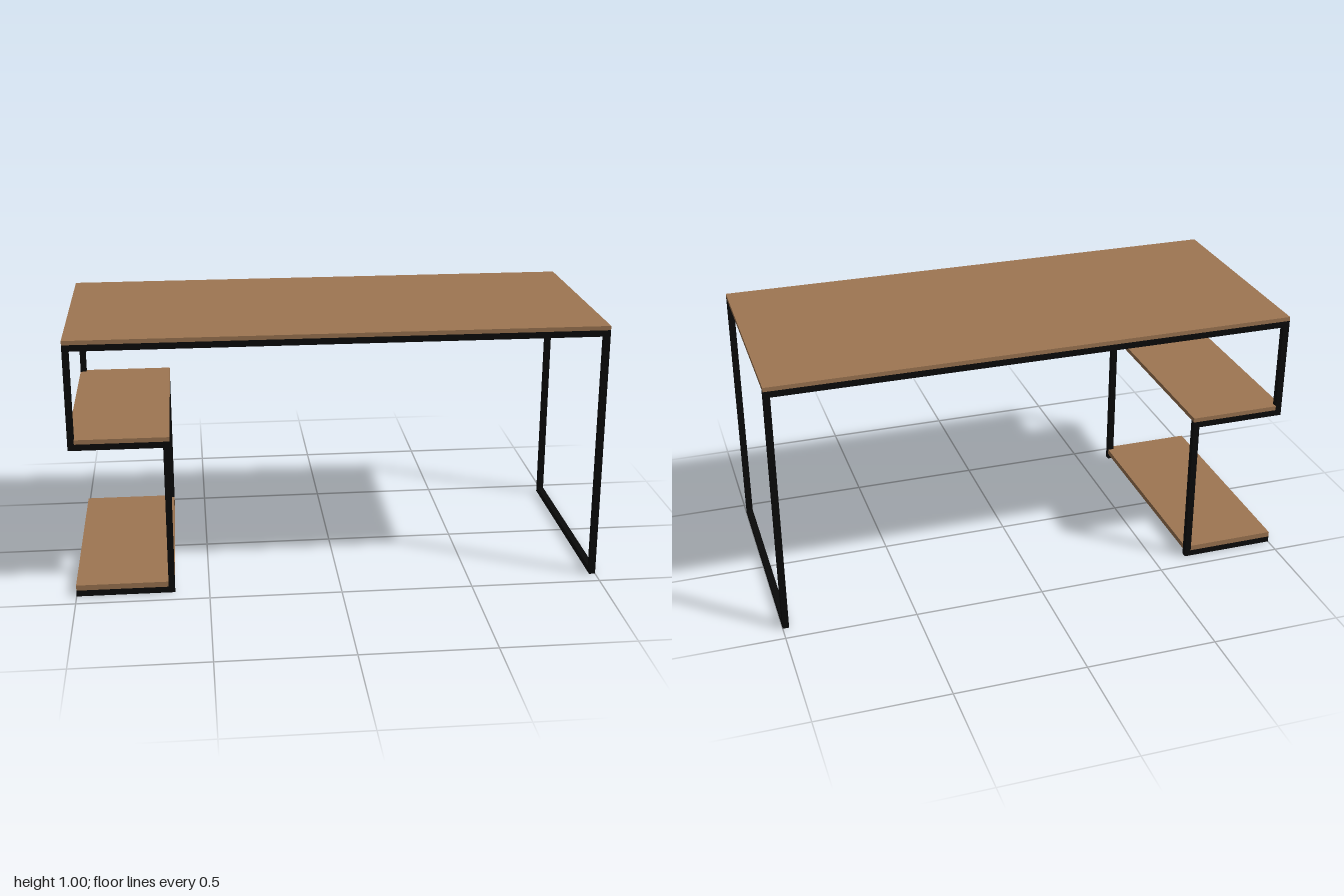
import * as THREE from 'three';

const T = 0.024;   // square tube thickness
const D = 0.437;   // half depth of the desk

export function createModel() {
  const wood = new THREE.MeshStandardMaterial({ color: 0x9e7652 });
  wood.name = 'brown wood';
  const steel = new THREE.MeshStandardMaterial({ color: 0x0a0a0a });
  steel.name = 'black steel';

  const desk = new THREE.Group();
  desk.name = 'desk';

  // Box given by its minimum and maximum corners
  const box = (name, mat, x0, x1, y0, y1, z0, z1, parent) => {
    const mesh = new THREE.Mesh(new THREE.BoxGeometry(x1 - x0, y1 - y0, z1 - z0), mat);
    mesh.position.set((x0 + x1) / 2, (y0 + y1) / 2, (z0 + z1) / 2);
    mesh.name = name;
    parent.add(mesh);
  };

  // Shelf board with two corners cut out around the posts, at x = -1 or at its inner end
  const shelf = (name, y0, y1, notchOuter) => {
    const x0 = -1, x1 = -0.63, d = D - T;
    const a = notchOuter ? x0 : x1, b = notchOuter ? x0 + T : x1 - T, c = notchOuter ? x1 : x0;
    const outline = [[c, -D], [b, -D], [b, -d], [a, -d], [a, d], [b, d], [b, D], [c, D]];
    const shape = new THREE.Shape(outline.map(([x, z]) => new THREE.Vector2(x, z)));
    const geo = new THREE.ExtrudeGeometry(shape, { depth: y1 - y0, bevelEnabled: false });
    geo.rotateX(-Math.PI / 2);
    const mesh = new THREE.Mesh(geo, wood);
    mesh.position.y = y0;
    mesh.name = name;
    desk.add(mesh);
  };

  // Boards
  box('tableTop', wood, -1, 1, 0.984, 1, -D, D, desk);
  shelf('middleShelf', 0.608, 0.625, true);
  shelf('bottomShelf', T, 0.045, false);

  // Continuous bent frame on the front and the back
  for (const side of [1, -1]) {
    const frame = new THREE.Group();
    frame.name = side > 0 ? 'frontFrame' : 'backFrame';
    const z0 = side > 0 ? D - T : -D, z1 = z0 + T;
    const bar = (name, x0, x1, y0, y1) => box(name, steel, x0, x1, y0, y1, z0, z1, frame);
    bar('leg', 1 - T, 1, 0, 0.984);
    bar('topRail', -1 + T, 1 - T, 0.984 - T, 0.984);
    bar('upperPost', -1, -1 + T, 0.584, 0.984);
    bar('middleRail', -1 + T, -0.63, 0.584, 0.608);
    bar('lowerPost', -0.63 - T, -0.63, 0, 0.584);
    bar('bottomRail', -1, -0.63 - T, 0, T);
    desk.add(frame);
  }

  // Floor bars joining the two frames
  box('legFloorBar', steel, 1 - T, 1, 0, T, -D + T, D - T, desk);
  box('shelfFloorBar', steel, -1, -1 + T, 0, T, -D + T, D - T, desk);

  return desk;
}
